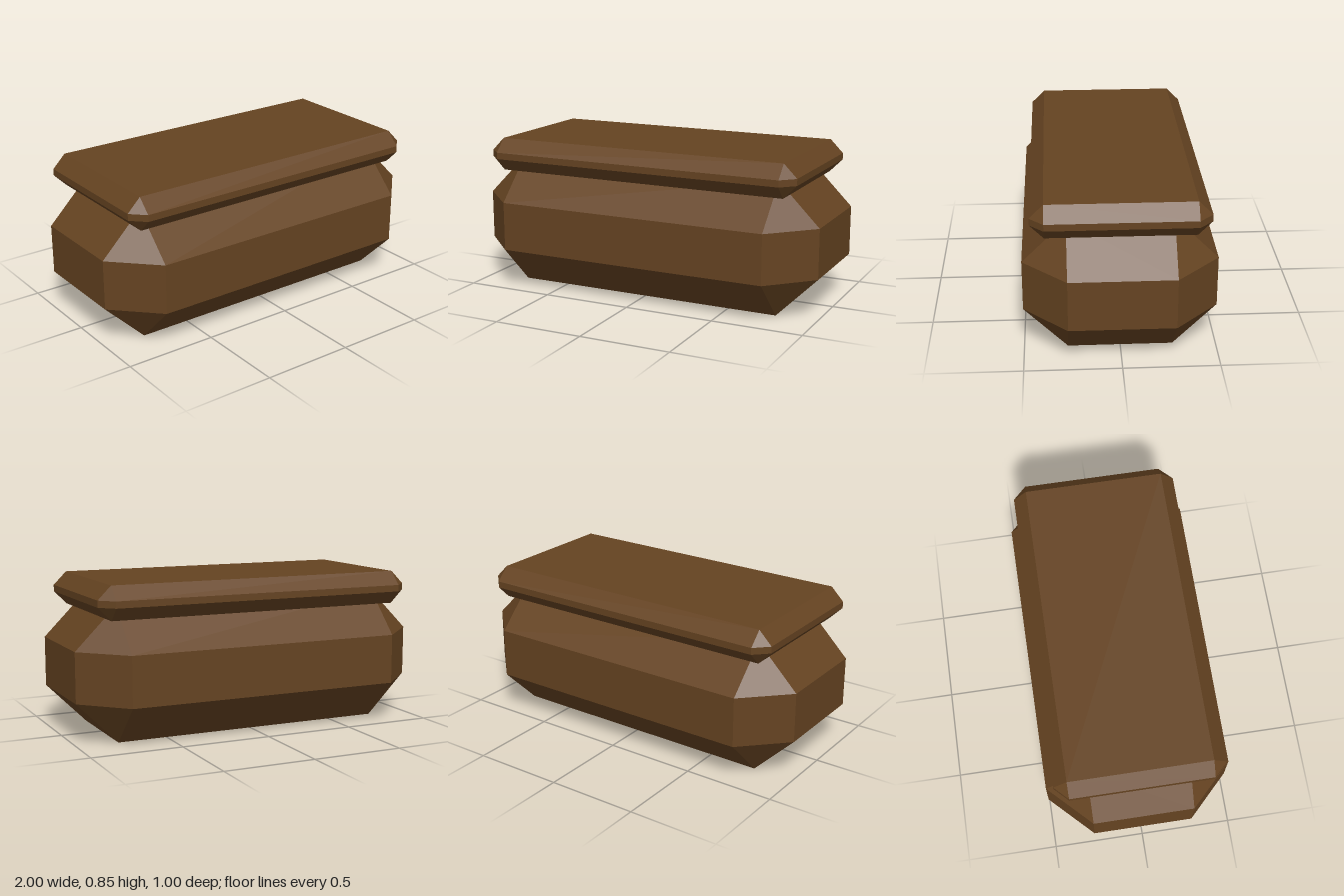
import * as THREE from 'three';
import { ConvexGeometry } from 'three/addons/geometries/ConvexGeometry.js';

// Box with flat bevels on every edge and a triangle at every corner
function bevelledBox(width, height, depth, bevel) {
  const half = [width / 2, height / 2, depth / 2];
  const points = [];
  for (const sx of [-1, 1]) for (const sy of [-1, 1]) for (const sz of [-1, 1]) {
    for (let axis = 0; axis < 3; axis++) {
      const [x, y, z] = half.map((h, i) => (i === axis ? h : h - bevel));
      points.push(new THREE.Vector3(sx * x, sy * y, sz * z));
    }
  }
  return new ConvexGeometry(points);
}

export function createModel() {
  const model = new THREE.Group();
  model.name = 'chest';
  const wood = new THREE.MeshStandardMaterial({ color: 0x654321 });
  wood.name = 'brown wood';
  wood.flatShading = true;

  const u = 1 / 11; // design unit

  // Heavily bevelled body
  const body = new THREE.Mesh(bevelledBox(22 * u, 8 * u, 11 * u, 2.5 * u), wood);
  body.name = 'body';
  body.position.y = 4 * u;

  // Thin lid slab sunk slightly into the body
  const lid = new THREE.Mesh(bevelledBox(20 * u, 2 * u, 10 * u, 0.8 * u), wood);
  lid.name = 'lid';
  lid.position.y = 8.3 * u;

  model.add(body, lid);
  return model;
}
